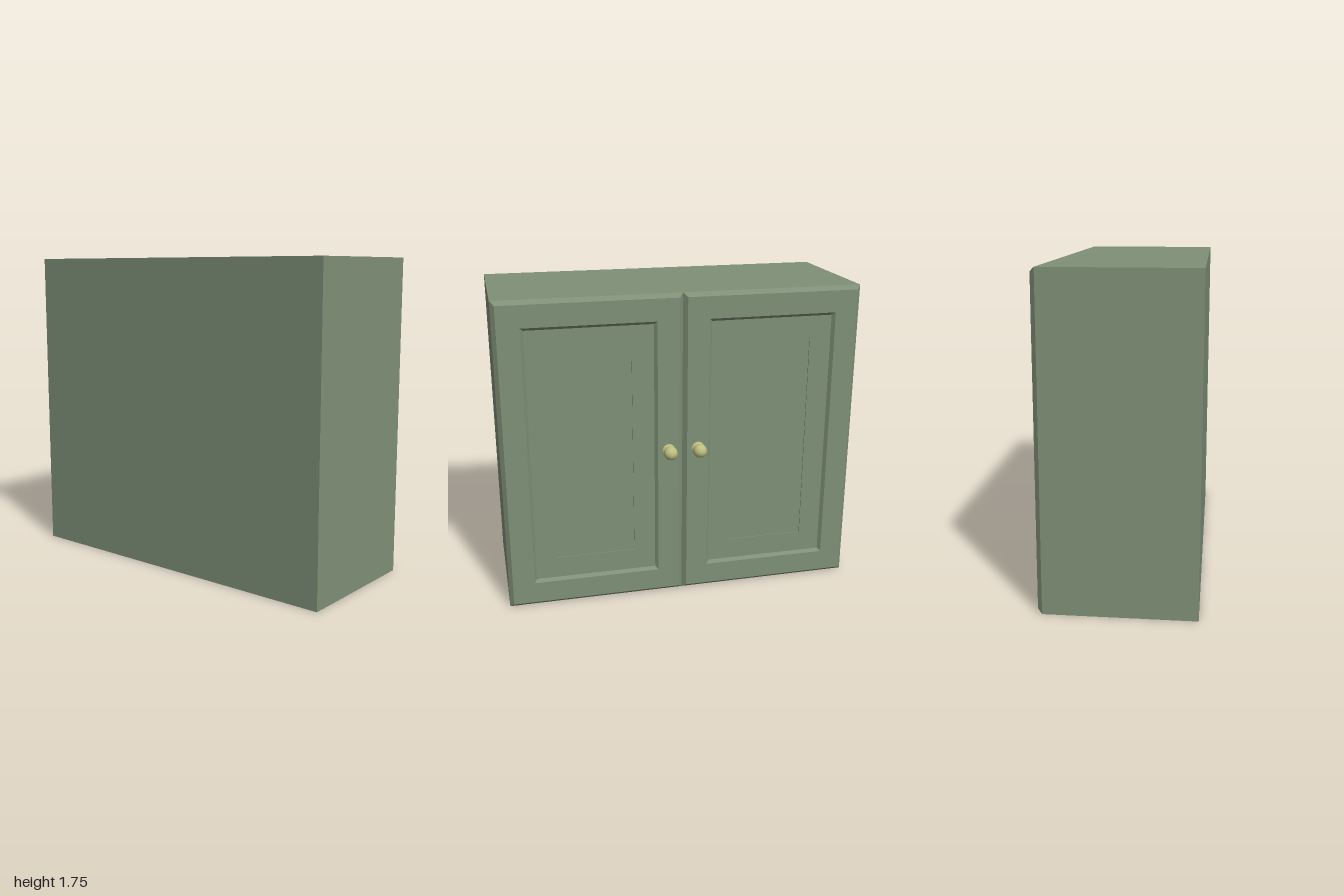
import * as THREE from 'three';

const HEIGHT = 1.75, BACK = -0.455, FRONT = 0.34;
const green = new THREE.MeshStandardMaterial({ color: 0x7f9077, flatShading: true });
const brass = new THREE.MeshStandardMaterial({ color: 0xbcbe80 });

// Door surface from nested rectangles, each given as [x, inset from the door outline]
function doorGeometry(z0, z1, steps) {
  const rings = steps.map(([x, d]) => [
    [x, d, z0 + d], [x, HEIGHT - d, z0 + d],
    [x, HEIGHT - d, z1 - d], [x, d, z1 - d],
  ]);
  const pos = [];
  const quad = (a, b, c, d) => pos.push(...a, ...b, ...c, ...a, ...c, ...d);
  for (let r = 0; r < rings.length - 1; r++) {
    for (let i = 0; i < 4; i++) {
      const j = (i + 1) % 4;
      quad(rings[r][i], rings[r][j], rings[r + 1][j], rings[r + 1][i]);
    }
  }
  quad(...rings[rings.length - 1]);
  const geo = new THREE.BufferGeometry();
  geo.setAttribute('position', new THREE.Float32BufferAttribute(pos, 3));
  geo.computeVertexNormals();
  return geo;
}

// Turned knob: flared foot, slim neck and round ball, pointing along +x
function knobGeometry() {
  const pts = [[0, 0], [0.037, 0], [0.036, 0.005], [0.027, 0.009], [0.021, 0.014], [0.02, 0.022]]
    .map(([r, h]) => new THREE.Vector2(r, h));
  const R = 0.038, centre = 0.05, start = -0.95;
  for (let i = 0; i <= 14; i++) {
    const a = start + (Math.PI / 2 - start) * i / 14;
    pts.push(new THREE.Vector2(Math.max(0, R * Math.cos(a)), centre + R * Math.sin(a)));
  }
  return new THREE.LatheGeometry(pts, 28).rotateZ(-Math.PI / 2);
}

export function createModel() {
  const group = new THREE.Group();
  const add = (name, geo, mat) => {
    const mesh = new THREE.Mesh(geo, mat);
    mesh.name = name;
    group.add(mesh);
    return mesh;
  };

  // Cabinet box
  add('cabinetBody', new THREE.BoxGeometry(FRONT - BACK, HEIGHT, 2), green)
    .position.set((FRONT + BACK) / 2, HEIGHT / 2, 0);

  // Bevelled rim, flat frame, chamfered recess, sunken centre panel
  const steps = [[FRONT, 0], [0.365, 0.022], [0.365, 0.143], [0.347, 0.159], [0.347, 0.28], [0.342, 0.28]];
  const knob = knobGeometry();
  for (const [side, z0, z1, knobZ] of [['first', 0, 1, 0.083], ['second', -1, 0, -0.083]]) {
    add(side + 'Door', doorGeometry(z0, z1, steps), green);
    add(side + 'Knob', knob, brass).position.set(0.365, 0.88, knobZ);
  }
  return group;
}
